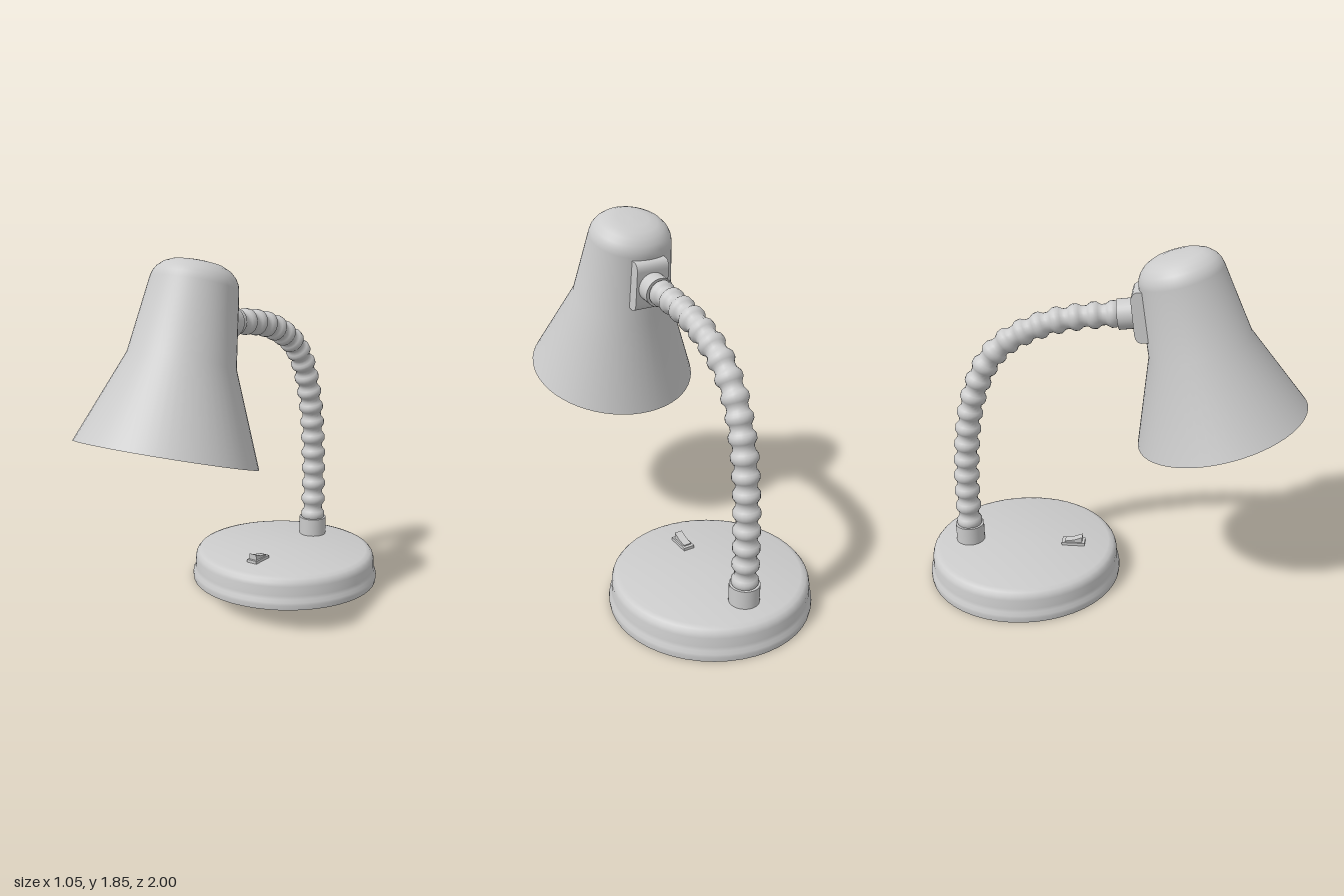
import * as THREE from 'three';
import { mergeVertices, toCreasedNormals } from 'three/addons/utils/BufferGeometryUtils.js';

const grey = new THREE.MeshStandardMaterial({ color: 0xcccccc });
const teal = new THREE.MeshStandardMaterial({ color: 0x86b4ba });

function part(name, geometry, material = grey) {
  const mesh = new THREE.Mesh(geometry, material);
  mesh.name = name;
  return mesh;
}

const toVectors = (points) => points.map(([a, b]) => new THREE.Vector2(a, b));

// Side profile given as [z, y] points, extruded across the width in x
function sideExtrude(name, points, width) {
  const g = new THREE.ExtrudeGeometry(new THREE.Shape(toVectors(points)), { depth: width, bevelEnabled: false });
  g.translate(0, 0, -width / 2).rotateY(-Math.PI / 2);
  return part(name, toCreasedNormals(g, 0.6));
}

// Ribbed hose: a tube whose rings swell and shrink along the path
function ribbedTube(curve, ribs, rMin, rMax) {
  const perRib = 8, steps = ribs * perRib, sides = 20;
  let g = new THREE.TubeGeometry(curve, steps, 1, sides, false);
  const pos = g.attributes.position, v = new THREE.Vector3();
  for (let i = 0; i <= steps; i++) {
    const centre = curve.getPointAt(i / steps);
    const swell = THREE.MathUtils.clamp(0.5 - 0.75 * Math.cos((i / perRib) * Math.PI * 2), 0, 1);
    const r = rMin + (rMax - rMin) * swell;
    for (let j = 0; j <= sides; j++) {
      const k = i * (sides + 1) + j;
      v.fromBufferAttribute(pos, k).sub(centre).multiplyScalar(r).add(centre);
      pos.setXYZ(k, v.x, v.y, v.z);
    }
  }
  g.deleteAttribute('uv');
  g.deleteAttribute('normal');
  g = mergeVertices(g);
  g.computeVertexNormals();
  return g;
}

export function createModel() {
  const lamp = new THREE.Group();
  lamp.name = 'deskLamp';

  // Hollow round base: thin wall, foot lip and rounded top edge
  const base = part('base', toCreasedNormals(new THREE.LatheGeometry(toVectors([
    [0, 0.16], [0.455, 0.16], [0.482, 0.152], [0.496, 0.13], [0.5, 0.065], [0.513, 0.035], [0.513, 0],
    [0.52, 0], [0.523, 0.025], [0.521, 0.04], [0.512, 0.056], [0.508, 0.075], [0.507, 0.125],
    [0.501, 0.145], [0.487, 0.162], [0.462, 0.17], [0, 0.17],
  ]), 48), 0.75));
  base.position.z = -0.475;
  lamp.add(base);

  // Rocker switch on top of the base
  const frame = part('switchFrame', new THREE.BoxGeometry(0.062, 0.04, 0.125));
  frame.position.set(0, 0.166, -0.205);
  lamp.add(frame);
  lamp.add(sideExtrude('switchRocker',
    [[-0.25, 0.14], [-0.16, 0.14], [-0.155, 0.218], [-0.2, 0.2], [-0.25, 0.192]], 0.044));

  // Collar where the neck leaves the base
  const collar = part('baseCollar', new THREE.CylinderGeometry(0.077, 0.077, 0.11, 32));
  collar.position.set(0, 0.215, -0.78);
  lamp.add(collar);

  // Flexible neck
  const path = new THREE.CatmullRomCurve3([
    [0.24, -0.78], [0.55, -0.78], [0.81, -0.76], [1.015, -0.722], [1.22, -0.64],
    [1.345, -0.53], [1.445, -0.34], [1.487, -0.177], [1.51, 0.01], [1.515, 0.06],
  ].map(([y, z]) => new THREE.Vector3(0, y, z)));
  lamp.add(part('flexibleNeck', ribbedTube(path, 19, 0.053, 0.068)));

  // Bracket joining the neck to the shade
  const bracket = new THREE.Group();
  bracket.name = 'shadeBracket';
  bracket.position.set(0, 1.52, 0.13);
  bracket.rotation.x = -0.115;
  const pad = sideExtrude('bracketPad', [
    [0.06, -0.13], [0.06, 0.13], [0.012, 0.13], [-0.004, 0.122], [-0.014, 0.105],
    [-0.017, 0.085], [-0.017, -0.085], [-0.014, -0.105], [-0.004, -0.122], [0.012, -0.13],
  ], 0.18);
  const socket = part('bracketSocket', new THREE.CylinderGeometry(0.077, 0.077, 0.12, 32));
  socket.rotation.x = Math.PI / 2;
  socket.position.z = -0.034;
  bracket.add(pad, socket);
  lamp.add(bracket);

  // Tilted shade: grey outside, tinted lining facing inward
  const shade = new THREE.Group();
  shade.name = 'shade';
  shade.position.set(0, 0.934, 0.571);
  shade.rotation.x = -0.283;
  const profile = [
    [0.446, 0], [0.264, 0.453], [0.215, 0.82], [0.208, 0.848], [0.192, 0.875],
    [0.165, 0.9], [0.13, 0.917], [0.08, 0.926], [0, 0.928],
  ];
  const lining = profile.map(([r, y]) => [Math.max(r - 0.003, 0), y && y - 0.003]).reverse();
  shade.add(
    part('shadeOutside', new THREE.LatheGeometry(toVectors(profile), 56)),
    part('shadeLining', new THREE.LatheGeometry(toVectors(lining), 56), teal),
  );
  lamp.add(shade);

  return lamp;
}
